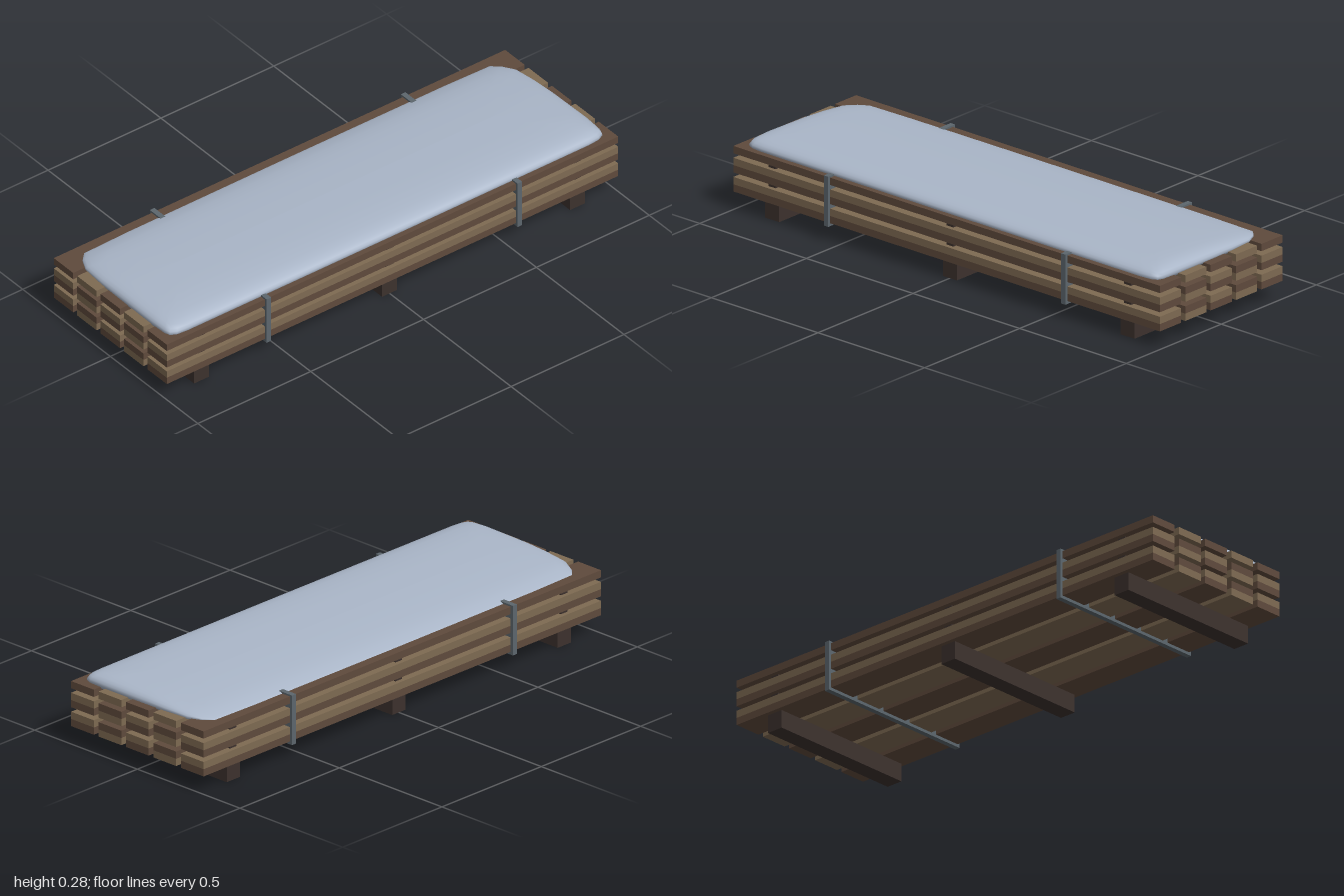
import * as THREE from 'three';

const mat = (color) => new THREE.MeshStandardMaterial({ color });

function box(name, w, h, d, x, y, z, material) {
  const mesh = new THREE.Mesh(new THREE.BoxGeometry(w, h, d), material);
  mesh.name = name;
  mesh.position.set(x, y, z);
  return mesh;
}

// Height of the snow surface along z: drifted higher toward the front
const DRIFT = [[-0.3, 0.243], [-0.28, 0.247], [-0.21, 0.262], [-0.1, 0.271], [0, 0.277],
  [0.16, 0.281], [0.262, 0.277], [0.31, 0.272]];
function driftHeight(z) {
  for (let i = 1; i < DRIFT.length; i++) {
    const [z0, y0] = DRIFT[i - 1], [z1, y1] = DRIFT[i];
    if (z <= z1) return THREE.MathUtils.lerp(y0, y1, (z - z0) / (z1 - z0));
  }
  return DRIFT[DRIFT.length - 1][1];
}

// Snow pillow: one outline, inset ring by ring until it closes on a centre line
function snowGeometry() {
  const half = [[0, -0.29], [0.7, -0.288], [0.9, -0.282], [0.93, -0.25], [0.955, -0.2],
    [0.964, -0.1], [0.967, 0], [0.969, 0.2], [0.966, 0.265], [0.958, 0.287],
    [0.935, 0.298], [0.89, 0.302], [0, 0.303]];
  const outline = [...half, ...half.slice(1, -1).reverse().map(([x, z]) => [-x, z])];
  const base = 0.234;
  // [inset, share of the drift height]
  const rings = [[0.303, 0], [0.004, 0], [0, 0.25], [0.002, 0.45], [0.008, 0.65], [0.02, 0.8],
    [0.04, 0.92], [0.07, 0.98], [0.12, 1], [0.18, 1], [0.24, 1], [0.303, 1]];
  const n = outline.length, positions = [], index = [];
  rings.forEach(([inset, share], k) => {
    outline.forEach(([x, z], j) => {
      const px = x * (1 - inset / 0.97), pz = z * (1 - inset / 0.303);
      positions.push(px, base + share * (driftHeight(pz) - base), pz);
      if (k === 0) return;
      const a = (k - 1) * n + j, b = (k - 1) * n + (j + 1) % n;
      index.push(a, a + n, b + n, a, b + n, b);
    });
  });
  const geo = new THREE.BufferGeometry();
  geo.setAttribute('position', new THREE.Float32BufferAttribute(positions, 3));
  geo.setIndex(index);
  geo.computeVertexNormals();
  return geo;
}

export function createModel() {
  const model = new THREE.Group();
  model.name = 'lumberStack';
  const darkWood = mat(0x5f4a3c), lightWood = mat(0x7e6a52);
  const bearerWood = mat(0x3c312d), steel = mat(0x5c666d), snowWhite = mat(0xaab6c8);

  // Planks: five thin courses, alternating in tone
  const planks = new THREE.Group();
  planks.name = 'planks';
  const thick = 0.0275;
  const courses = [0.068, 0.0955, 0.14, 0.1675, 0.212];
  courses.forEach((y, row) => {
    for (let col = 0; col < 5; col++) {
      planks.add(box('plank', 2, thick, 0.111, 0, y + thick / 2, (col - 2) * 0.1337,
        (row + col) % 2 ? lightWood : darkWood));
    }
  });
  model.add(planks);

  // Ground bearers with thin spacers above them
  for (const x of [-0.833, 0, 0.833]) {
    model.add(box('bearer', 0.066, 0.068, 0.612, x, 0.034, 0, bearerWood));
    for (const y of [0.1315, 0.2035]) {
      model.add(box('spacer', 0.033, 0.017, 0.612, x, y, 0, bearerWood));
    }
  }

  // Steel bands around the stack
  for (const x of [-0.556, 0.556]) {
    model.add(box('strap', 0.02, 0.189, 0.667, x, 0.1515, 0, steel));
  }

  // Snow lying on top
  const snow = new THREE.Mesh(snowGeometry(), snowWhite);
  snow.name = 'snow';
  model.add(snow);

  return model;
}
